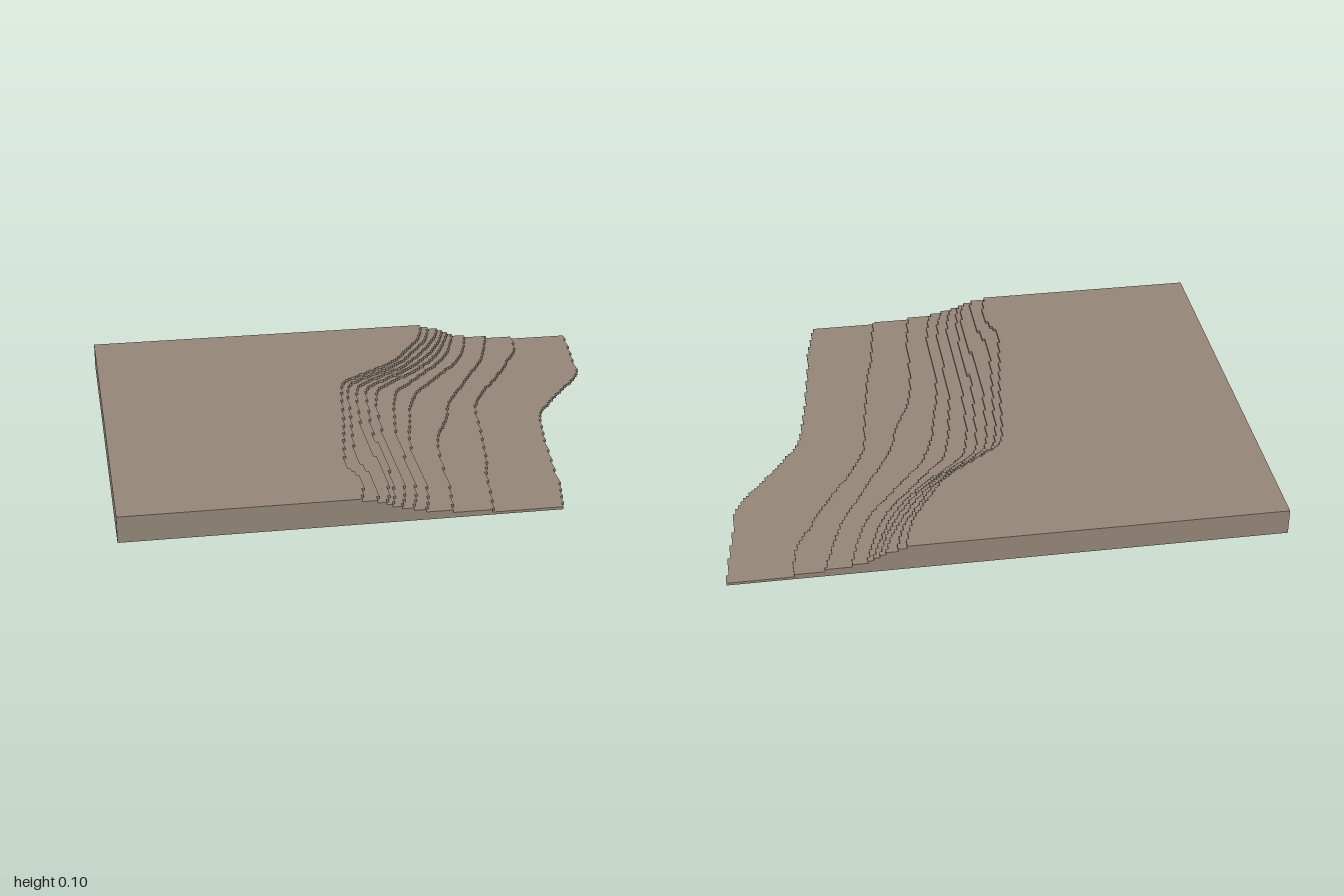
import * as THREE from 'three';

const HALF_DEPTH = 0.826;
const LAYER = 0.0097;   // thickness of one terrace
const CELL = 0.0107;    // size of the stair steps along each edge
const ROWS = Math.round(2 * HALF_DEPTH / CELL);

// z stations, back to front
const STATIONS = [-0.826, -0.69, -0.55, -0.42, -0.32, -0.24, -0.1, 0, 0.2, 0.4, 0.54, 0.62, 0.76, 0.826];

// x of each terrace edge at those stations, lowest terrace first
const EDGES = [
  [1.0, 0.985, 0.965, 0.95, 0.90, 0.84, 0.745, 0.69, 0.65, 0.625, 0.607, 0.602, 0.575, 0.557],
  [0.765, 0.75, 0.685, 0.62, 0.56, 0.51, 0.45, 0.435, 0.41, 0.38, 0.35, 0.34, 0.32, 0.31],
  [0.655, 0.62, 0.57, 0.50, 0.45, 0.405, 0.34, 0.315, 0.24, 0.21, 0.20, 0.195, 0.175, 0.165],
  [0.565, 0.53, 0.475, 0.38, 0.305, 0.245, 0.19, 0.17, 0.13, 0.11, 0.11, 0.11, 0.09, 0.065],
  [0.51, 0.47, 0.41, 0.31, 0.23, 0.165, 0.125, 0.11, 0.08, 0.075, 0.07, 0.068, 0.045, 0.02],
  [0.49, 0.44, 0.375, 0.27, 0.16, 0.09, 0.055, 0.045, 0.03, 0.03, 0.03, 0.028, 0.005, -0.02],
  [0.47, 0.42, 0.345, 0.24, 0.125, 0.045, 0.02, 0.01, -0.01, -0.008, -0.01, -0.015, -0.03, -0.05],
  [0.45, 0.395, 0.315, 0.215, 0.09, 0.01, -0.02, -0.03, -0.05, -0.045, -0.035, -0.035, -0.05, -0.07],
  [0.405, 0.365, 0.285, 0.19, 0.06, -0.025, -0.055, -0.065, -0.09, -0.11, -0.105, -0.09, -0.09, -0.105],
  [0.374, 0.337, 0.26, 0.165, 0.035, -0.05, -0.08, -0.092, -0.12, -0.152, -0.165, -0.14, -0.14, -0.16],
];

// Flat slab whose right side follows the curve in small square steps
function terraceGeometry(edge) {
  const curve = new THREE.SplineCurve(STATIONS.map((z, i) => new THREE.Vector2(edge[i], z)));
  const samples = curve.getPoints(500);
  const step = 2 * HALF_DEPTH / ROWS;
  const shape = new THREE.Shape();
  shape.moveTo(-1, HALF_DEPTH);
  shape.lineTo(-1, -HALF_DEPTH);
  let lastX = null;
  // walk from the front row to the back row (shape y is -z)
  for (let r = ROWS - 1; r >= 0; r--) {
    const z = -HALF_DEPTH + (r + 0.5) * step;
    const p = samples.find((s) => s.y >= z) ?? samples[samples.length - 1];
    const x = Math.min(1, -1 + Math.round((p.x + 1) / CELL) * CELL);
    if (x !== lastX) {
      const y = -(z + step / 2);
      if (lastX !== null) shape.lineTo(lastX, y);
      shape.lineTo(x, y);
      lastX = x;
    }
  }
  shape.lineTo(lastX, HALF_DEPTH);
  const geometry = new THREE.ExtrudeGeometry(shape, { depth: LAYER, bevelEnabled: false });
  geometry.rotateX(-Math.PI / 2);
  return geometry;
}

export function createModel() {
  const group = new THREE.Group();
  group.name = 'terracedSlope';
  const earth = new THREE.MeshStandardMaterial({ color: 0x968879 });
  earth.name = 'earth';

  // stacked terraces, each set further back than the one below
  EDGES.forEach((edge, i) => {
    const terrace = new THREE.Mesh(terraceGeometry(edge), earth);
    terrace.name = `terrace${i + 1}`;
    terrace.position.y = i * LAYER;
    group.add(terrace);
  });
  return group;
}
